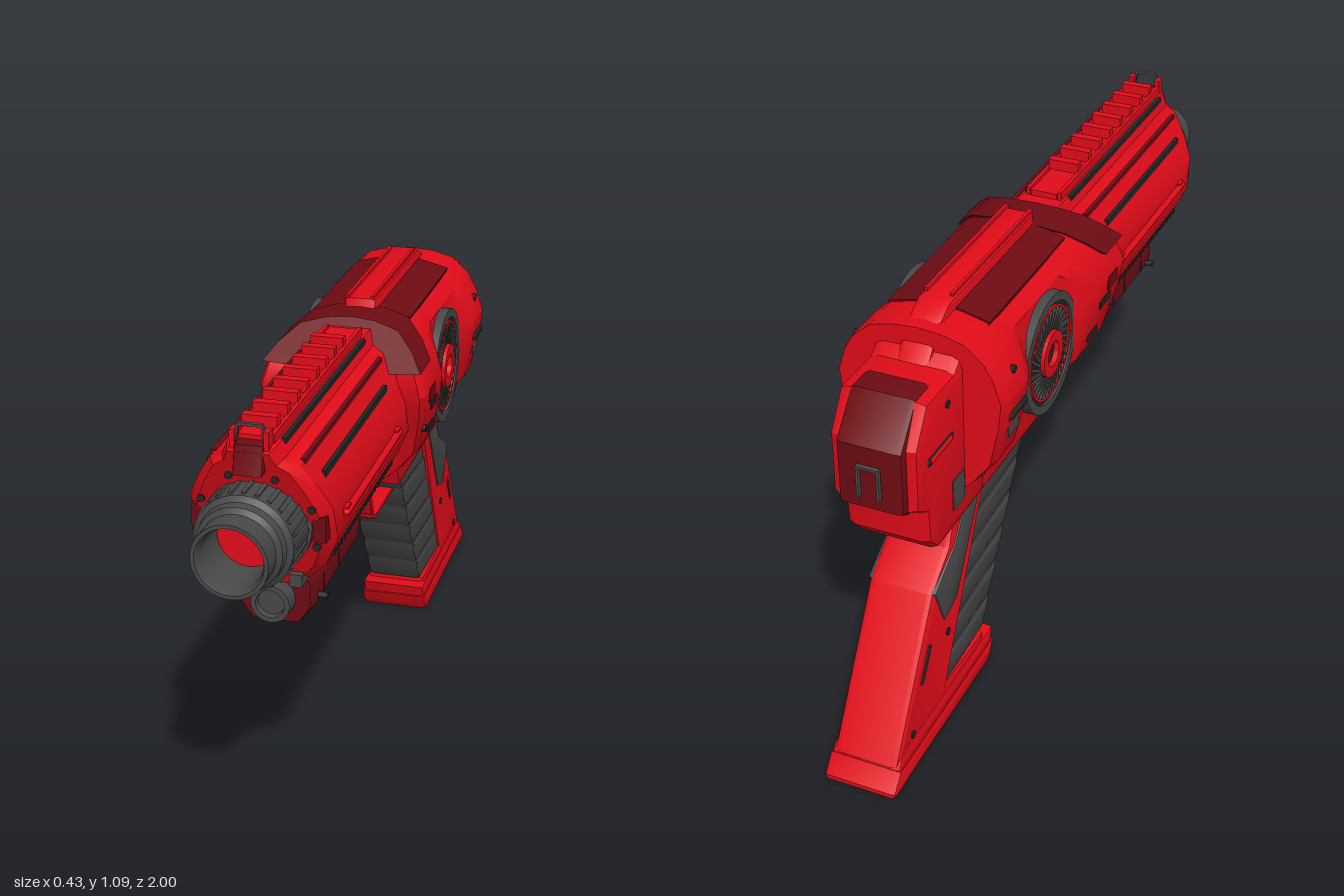
import * as THREE from 'three';
import { toCreasedNormals } from 'three/addons/utils/BufferGeometryUtils.js';

const mat = (color) => new THREE.MeshStandardMaterial({ color, side: THREE.DoubleSide });

export function createModel() {
  const root = new THREE.Group();
  const red = mat(0xe10c19), dark = mat(0x6e0b13), grey = mat(0x484848), black = mat(0x242424);

  const add = (name, geo, m, x = 0, y = 0, z = 0) => {
    const mesh = new THREE.Mesh(geo, m);
    mesh.name = name;
    mesh.position.set(x, y, z);
    root.add(mesh);
    return mesh;
  };
  const box = (name, m, w, h, d, x, y, z) => add(name, new THREE.BoxGeometry(w, h, d), m, x, y, z);

  // Side profile of [z, y] points, extruded across x
  const plate = (name, m, pts, half, bevel = 0.012) => {
    const shape = new THREE.Shape(pts.map(([z, y]) => new THREE.Vector2(z, y)));
    const geo = new THREE.ExtrudeGeometry(shape, {
      depth: 2 * (half - bevel), bevelEnabled: true, bevelSize: bevel,
      bevelThickness: bevel, bevelOffset: -bevel, bevelSegments: 2,
    });
    geo.translate(0, 0, -(half - bevel)).rotateY(-Math.PI / 2);
    return add(name, toCreasedNormals(geo, 0.5), m);
  };

  // Capped skin over rings of [x, y, z], ordered front to rear
  const loft = (name, m, rings) => {
    const pos = [], n = rings[0].length;
    const tri = (...p) => p.forEach((v) => pos.push(...v));
    for (let i = 0; i < rings.length - 1; i++) for (let j = 0; j < n; j++) {
      const k = (j + 1) % n, a = rings[i][j], b = rings[i][k], c = rings[i + 1][k], d = rings[i + 1][j];
      tri(a, b, c);
      tri(a, c, d);
    }
    const mid = (r) => [0, 1, 2].map((q) => r.reduce((s, v) => s + v[q], 0) / n);
    const first = rings[0], last = rings[rings.length - 1];
    for (let j = 0; j < n; j++) {
      const k = (j + 1) % n;
      tri(mid(first), first[k], first[j]);
      tri(mid(last), last[j], last[k]);
    }
    const geo = new THREE.BufferGeometry();
    geo.setAttribute('position', new THREE.Float32BufferAttribute(pos, 3));
    return add(name, toCreasedNormals(geo, 0.5), m);
  };
  const mirrored = (half) => [...half, ...half.slice(1, -1).reverse().map(([x, y]) => [-x, y])];

  // Surface of revolution along z from [radius, z] points
  const turned = (name, m, pts, y) => {
    const geo = new THREE.LatheGeometry(pts.map(([r, z]) => new THREE.Vector2(r, z)), 40);
    add(name, toCreasedNormals(geo.rotateX(Math.PI / 2), 0.5), m, 0, y, 0);
  };
  // Flat capsule lying along z on a side
  const pill = (name, m, r, len, x, y, z) =>
    add(name, new THREE.CapsuleGeometry(r, len - 2 * r, 4, 10).rotateX(Math.PI / 2), m, x, y, z);

  // Faceted barrel housing with slanted front
  const barrel = mirrored([[0, 1.04], [0.055, 1.04], [0.07, 1.01], [0.1, 0.995], [0.135, 0.94], [0.162, 0.885], [0.165, 0.8],
    [0.13, 0.72], [0.07, 0.66], [0, 0.655]]);
  const nose = (y) => 0.73 + (y - 0.66) * 0.34;
  loft('barrelHousing', red, [
    barrel.map(([x, y]) => [x * 0.84, 0.84 + (y - 0.84) * 0.95, nose(y)]),
    barrel.map(([x, y]) => [x, y, nose(y) - 0.03]),
    barrel.map(([x, y]) => [x, y, -0.05]),
  ]);

  // Main body: slanted front, hollowed waist around the fans
  const bodyHalf = [[0, 1.055], [0.06, 1.05], [0.12, 1.035], [0.165, 0.995], [0.195, 0.955], [0.213, 0.9], [0.207, 0.84],
    [0.182, 0.73], [0.135, 0.67], [0.09, 0.63], [0, 0.63]];
  const front = (y) => (y > 0.93 ? 0.15 - (y - 0.93) : 0.15 - (0.93 - y) * 0.4);
  const stations = [[0, 0.95], [0.03, 1], [0.27, 1], [0.33, 0.93], [0.38, 0.83], [0.73, 0.83], [0.78, 0.93], [0.83, 1],
    [0.96, 1], [1, 0.95]];
  loft('mainBody', red, stations.map(([t, w]) => mirrored(bodyHalf).map(([x, y]) => {
    const f = front(y);
    return [x * (y > 0.97 ? 1 + (w - 1) * 0.3 : w), y, f + (-0.62 - f) * t];
  })));

  // Dark collar and top plates
  const collar = mirrored([...bodyHalf.slice(0, 5).map(([x, y]) => [x * 1.02 + 0.003, y + 0.006]), [0, 0.95]]);
  loft('bodyCollar', dark, [0.01, -0.1].map((o) => collar.map(([x, y]) => [x, y, front(y) + o])));
  for (const s of [1, -1]) {
    const p = box('topPlate', dark, 0.085, 0.012, 0.44, s * 0.085, 1.042, -0.29);
    p.rotation.z = -s * 0.25;
  }
  plate('topSpine', red, [[-0.04, 1.03], [-0.06, 1.08], [-0.53, 1.08], [-0.59, 1.05], [-0.66, 0.97], [-0.66, 0.9],
    [-0.04, 0.9]], 0.042);
  for (const s of [1, -1]) box('spineRail', red, 0.008, 0.008, 0.45, s * 0.032, 1.085, -0.28);

  // Rear receiver, lower frame and end cap
  plate('rearReceiver', red, [[-0.5, 1.03], [-0.58, 1.03], [-0.65, 0.98], [-0.79, 0.98], [-0.85, 0.89], [-0.85, 0.73],
    [-0.8, 0.695], [-0.795, 0.61], [-0.755, 0.567], [-0.5, 0.567]], 0.11, 0.025);
  plate('lowerFrame', red, [[0.03, 0.66], [0.02, 0.63], [-0.07, 0.62], [-0.1, 0.56], [-0.72, 0.56], [-0.72, 0.66]], 0.1);
  plate('endCap', dark, [[-0.72, 0.985], [-0.79, 0.985], [-0.87, 0.89], [-0.87, 0.73], [-0.84, 0.71], [-0.72, 0.76]], 0.082, 0.015);
  for (const s of [1, -1]) box('capLoopSide', grey, 0.006, 0.08, 0.016, s * 0.025, 0.8, -0.873);
  box('capLoopBar', grey, 0.056, 0.006, 0.016, 0, 0.84, -0.873);

  // Hollow muzzle
  turned('muzzle', grey, [[0.07, 0.85], [0.07, 0.98], [0.077, 1], [0.086, 1], [0.086, 0.945], [0.097, 0.935], [0.1, 0.915],
    [0.112, 0.905], [0.112, 0.8], [0.12, 0.795], [0.12, 0.7]], 0.84);
  turned('boreDisc', red, [[0.072, 0.87], [0, 0.87]], 0.84);
  for (let i = 0; i < 24; i++) {
    const a = (i / 24) * Math.PI * 2;
    const rib = box('muzzleRib', grey, 0.01, 0.01, 0.09, Math.cos(a) * 0.111, 0.84 + Math.sin(a) * 0.111, 0.85);
    rib.rotation.z = a;
  }
  // Front bolts around the muzzle
  for (let i = 0; i < 8; i++) {
    const a = ((i + 0.5) / 8) * Math.PI * 2, y = 0.84 + Math.sin(a) * 0.135;
    add('frontBolt', new THREE.CylinderGeometry(0.009, 0.009, 0.03, 10).rotateX(Math.PI / 2), black,
      Math.cos(a) * 0.135, y, nose(y) - 0.008);
  }

  // Top rail, teeth and front sight
  box('topRail', red, 0.07, 0.03, 0.72, 0, 1.04, 0.46);
  for (const s of [1, -1]) {
    box('railGroove', black, 0.012, 0.012, 0.66, s * 0.058, 1.036, 0.46);
    box('railEdge', red, 0.01, 0.025, 0.72, s * 0.042, 1.048, 0.46);
    box('sightPost', red, 0.012, 0.07, 0.03, s * 0.038, 1.04, 0.835);
    const leg = box('sightLeg', grey, 0.006, 0.05, 0.01, s * 0.031, 1.063, 0.84);
    leg.rotation.z = s * 0.15;
  }
  box('sightBar', grey, 0.056, 0.006, 0.01, 0, 1.087, 0.84);
  for (let i = 0; i < 8; i++) box('railTooth', red, 0.08, 0.04, 0.024, 0, 1.062, 0.765 - i * 0.075);
  plate('sightBase', dark, [[0.87, 0.98], [0.855, 1.045], [0.8, 1.045], [0.78, 0.98]], 0.033, 0.005);

  // Under-barrel light pod
  const podHalf = [[0, 0.665], [0.08, 0.665], [0.09, 0.645], [0.088, 0.59], [0.06, 0.55], [0, 0.548]];
  loft('underPod', dark, [[0.69, 0, 0.93], [0.67, 0, 1], [0.26, 0.5, 1], [0.25, 0.5, 0.9]].map(([z, lean, w]) =>
    mirrored(podHalf).map(([x, y]) => [x * w, y, z + (0.665 - y) * lean])));
  box('podMount', red, 0.13, 0.04, 0.42, 0, 0.67, 0.48);
  turned('podLamp', grey, [[0, 0.715], [0.032, 0.715], [0.034, 0.73], [0.046, 0.73], [0.048, 0.69], [0.048, 0.65]], 0.608);
  for (const z of [0.6, 0.47]) box('podSeam', black, 0.181, 0.05, 0.004, 0, 0.617, z);

  // Trigger guard and trigger
  plate('triggerGuard', red, [[0.035, 0.64], [0.025, 0.6], [-0.025, 0.49], [-0.045, 0.478], [-0.24, 0.478], [-0.24, 0.488],
    [-0.04, 0.488], [-0.015, 0.505], [0.005, 0.545], [0.02, 0.64]], 0.045, 0.002);
  const pull = new THREE.QuadraticBezierCurve3(new THREE.Vector3(0, 0.58, -0.16), new THREE.Vector3(0, 0.535, -0.175),
    new THREE.Vector3(0, 0.508, -0.14));
  add('trigger', new THREE.TubeGeometry(pull, 10, 0.008, 8), grey);

  // Grip: red back frame, ridged grey front, flared foot
  plate('gripFrame', red, [[-0.44, 0.59], [-0.62, 0.57], [-0.655, 0.49], [-0.75, 0.42], [-0.965, 0.06], [-0.47, 0.06],
    [-0.475, 0.1], [-0.69, 0.105]], 0.084, 0.015);
  for (let i = 0; i < 6; i++) {
    const edge = (y) => -0.185 - (0.56 - y) * 0.6;
    const a = 0.565 - i * 0.077, b = a - 0.077;
    plate('gripRidge', grey, [[edge(a) - 0.006, a], [edge((a + b) / 2) + 0.002, (a + b) / 2], [edge(b) - 0.006, b],
      [edge(b) - 0.26, b - 0.012], [edge(a) - 0.275, a - 0.012]], 0.076, 0.012);
  }
  plate('gripPanel', grey, [[-0.5, 0.55], [-0.58, 0.56], [-0.63, 0.49], [-0.745, 0.42], [-0.7, 0.31], [-0.63, 0.33]], 0.089, 0.006);
  plate('gripCollar', red, [[-0.435, 0.088], [-0.45, 0.045], [-0.97, 0.045], [-0.95, 0.075], [-0.9, 0.088]], 0.09, 0.01);
  plate('gripFoot', red, [[-0.44, 0.055], [-0.455, 0.02], [-0.475, 0], [-1, 0], [-1, 0.012], [-0.965, 0.055]], 0.095, 0.012);

  for (const s of [1, -1]) {
    // Round turbine set into each flank
    const fan = new THREE.Group();
    fan.name = 'sideFan';
    fan.position.set(s * 0.13, 0.84, -0.28);
    fan.rotation.y = s * Math.PI / 2;
    const part = (name, geo, m, x = 0, y = 0, z = 0) => {
      const mesh = new THREE.Mesh(geo, m);
      mesh.name = name;
      mesh.position.set(x, y, z);
      fan.add(mesh);
      return mesh;
    };
    const ring = (inner, outer, z0, z1) => toCreasedNormals(new THREE.LatheGeometry([[inner, z0], [outer, z0], [outer, z1],
      [inner, z1], [inner, z0]].map(([r, z]) => new THREE.Vector2(r, z)), 40).rotateX(Math.PI / 2), 0.5);
    part('fanDisc', new THREE.CylinderGeometry(0.145, 0.145, 0.09, 40).rotateX(Math.PI / 2), black);
    part('fanRim', ring(0.13, 0.152, -0.03, 0.052), grey);
    part('fanInnerRing', ring(0.114, 0.12, 0, 0.05), red);
    part('fanHub', ring(0.032, 0.058, 0, 0.058), red);
    for (let i = 0; i < 32; i++) {
      const a = (i / 32) * Math.PI * 2;
      const vane = part('fanVane', new THREE.BoxGeometry(0.062, 0.007, 0.012), grey, Math.cos(a) * 0.087, Math.sin(a) * 0.087, 0.044);
      vane.rotation.z = a + s * 0.5;
    }
    root.add(fan);

    // Barrel flank: long slot, rod and row of vents
    box('barrelSlot', black, 0.02, 0.018, 0.54, s * 0.126, 0.945, 0.47);
    box('barrelStrip', dark, 0.012, 0.012, 0.66, s * 0.1, 0.993, 0.46);
    pill('sideRod', red, 0.009, 0.5, s * 0.169, 0.84, 0.45);
    for (const z of [0.22, 0.68]) box('rodClamp', red, 0.016, 0.024, 0.03, s * 0.165, 0.84, z);
    for (let i = 0; i < 20; i++) box('barrelVent', black, 0.016, 0.012, 0.014, s * 0.138, 0.745, 0.7 - i * 0.027);
    box('noseInset', dark, 0.03, 0.06, 0.03, s * 0.138, 0.84, 0.785);
    box('noseLug', grey, 0.03, 0.03, 0.05, s * 0.07, 0.69, 0.735);
    add('podPin', new THREE.CylinderGeometry(0.008, 0.008, 0.03, 10).rotateZ(Math.PI / 2), black, s * 0.095, 0.6, 0.64);

    // Body details
    pill('bodySlot', black, 0.014, 0.1, s * 0.202, 0.85, -0.54);
    box('bodyInset', grey, 0.02, 0.03, 0.06, s * 0.192, 0.805, -0.55);
    box('bodyLatch', dark, 0.016, 0.035, 0.06, s * 0.206, 0.885, 0.04);
    box('latchPin', black, 0.016, 0.02, 0.07, s * 0.202, 0.845, 0);
    box('lowerInset', black, 0.016, 0.02, 0.06, s * 0.185, 0.765, -0.04);
    pill('receiverSlot', black, 0.016, 0.14, s * 0.099, 0.835, -0.74);
    pill('receiverSlotBar', red, 0.008, 0.11, s * 0.109, 0.835, -0.74);
    box('receiverInset', grey, 0.016, 0.08, 0.06, s * 0.104, 0.67, -0.655);
    box('frameInset', grey, 0.016, 0.02, 0.22, s * 0.096, 0.62, -0.5);
    const slot = pill('gripSlot', black, 0.014, 0.11, s * 0.074, 0.25, -0.8);
    slot.rotation.x = -1.03;
    for (const [x, y, z] of [[0.194, 0.95, -0.54], [0.197, 0.8, 0.07], [0.105, 0.93, -0.7], [0.079, 0.1, -0.88], [0.079, 0.26, -0.68]]) {
      add('bolt', new THREE.CylinderGeometry(0.01, 0.01, 0.016, 10).rotateZ(Math.PI / 2), black, s * x, y, z);
    }
  }
  return root;
}
